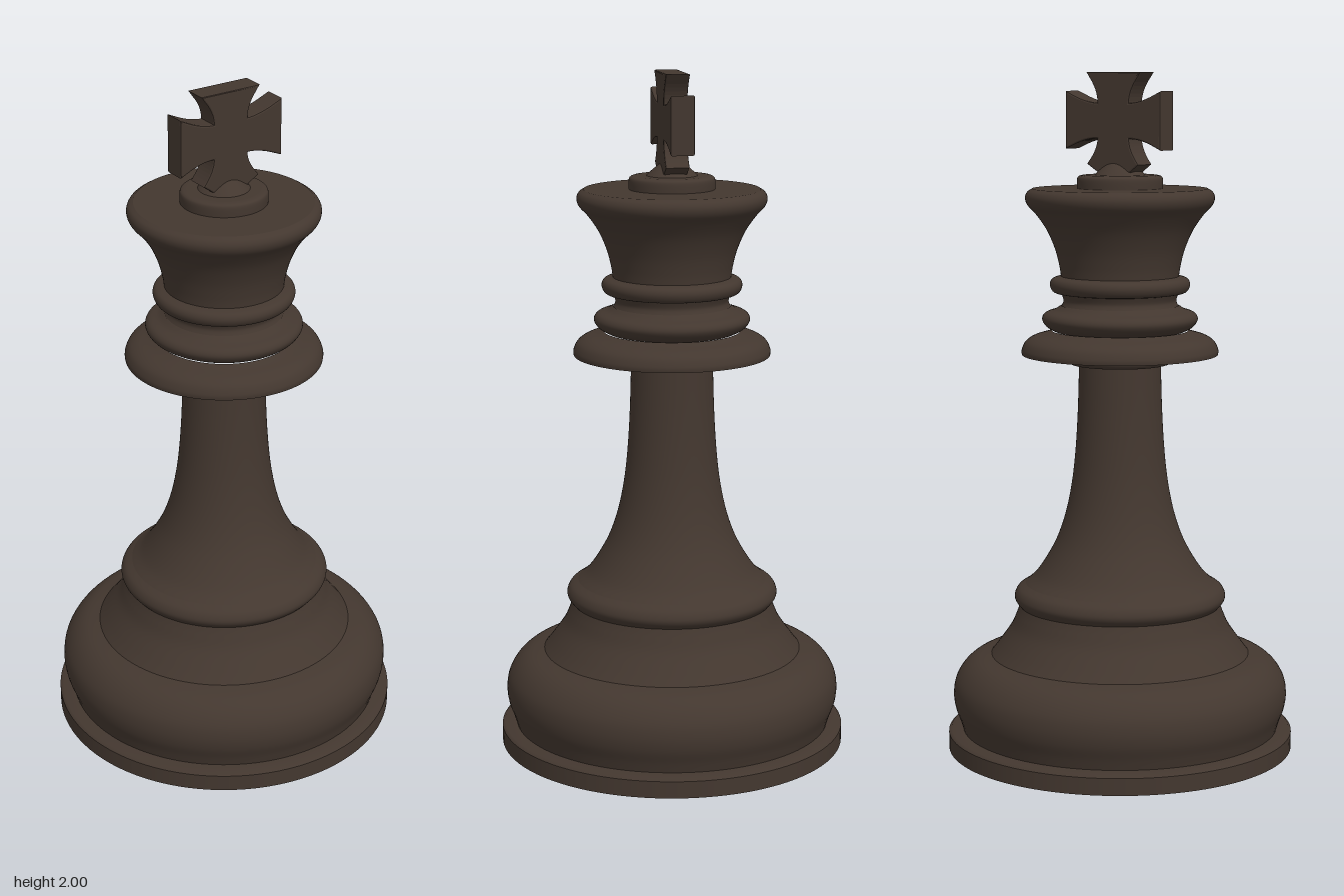
import * as THREE from 'three';

const wood = new THREE.MeshStandardMaterial({ color: 0x43372f });
wood.name = 'darkWood';

// Turned section: a smooth curve through [radius, y] points, or straight facets
function turned(name, points, smooth = true) {
  const pts = points.map(([r, y]) => new THREE.Vector2(r, y));
  const profile = smooth ? new THREE.SplineCurve(pts).getPoints(pts.length * 5) : pts;
  const mesh = new THREE.Mesh(new THREE.LatheGeometry(profile, 96), wood);
  mesh.name = name;
  return mesh;
}

// Flat disc closing a section, facing up or down
function disc(name, radius, y, up = true) {
  const mesh = new THREE.Mesh(new THREE.CircleGeometry(radius, 96), wood);
  mesh.rotation.x = up ? -Math.PI / 2 : Math.PI / 2;
  mesh.position.y = y;
  mesh.name = name;
  return mesh;
}

// Cross with four flared arms, each with concave sides
function cross() {
  const s = new THREE.Shape();
  s.moveTo(-0.09, 1.995);
  s.quadraticCurveTo(-0.048, 1.95, -0.05, 1.905);
  s.quadraticCurveTo(-0.1, 1.905, -0.16, 1.938);
  s.lineTo(-0.16, 1.782);
  s.quadraticCurveTo(-0.1, 1.815, -0.05, 1.812);
  s.quadraticCurveTo(-0.05, 1.775, -0.082, 1.735);
  s.lineTo(-0.055, 1.715);
  s.lineTo(0.055, 1.715);
  s.lineTo(0.088, 1.735);
  s.quadraticCurveTo(0.052, 1.775, 0.052, 1.812);
  s.quadraticCurveTo(0.1, 1.815, 0.167, 1.782);
  s.lineTo(0.167, 1.938);
  s.quadraticCurveTo(0.1, 1.905, 0.052, 1.905);
  s.quadraticCurveTo(0.05, 1.95, 0.09, 1.995);
  s.closePath();
  const geo = new THREE.ExtrudeGeometry(s, {
    depth: 0.06, curveSegments: 8,
    bevelEnabled: true, bevelSize: 0.005, bevelThickness: 0.005, bevelSegments: 2,
  });
  geo.translate(0, 0, -0.03);
  const mesh = new THREE.Mesh(geo, wood);
  mesh.name = 'cross';
  return mesh;
}

export function createModel() {
  const group = new THREE.Group();
  group.name = 'chessKing';
  group.add(
    // Foot and lower body
    disc('underside', 0.513, 0, false),
    turned('footEdge', [[0.513, 0], [0.513, 0.05]], false),
    turned('footTop', [[0.513, 0.05], [0.505, 0.058], [0.47, 0.06]], false),
    turned('baseBulge', [[0.47, 0.06], [0.479, 0.09], [0.493, 0.13], [0.497, 0.17],
      [0.489, 0.21], [0.465, 0.247], [0.43, 0.272], [0.38, 0.285]]),
    turned('lowerCone', [[0.387, 0.28], [0.36, 0.315], [0.325, 0.365], [0.307, 0.405], [0.298, 0.43]]),
    turned('bodyRing', [[0.298, 0.43], [0.311, 0.447], [0.313, 0.463], [0.303, 0.482], [0.28, 0.497]]),
    // Stem
    turned('stem', [[0.28, 0.497], [0.25, 0.525], [0.216, 0.575], [0.185, 0.635], [0.16, 0.71],
      [0.142, 0.8], [0.131, 0.9], [0.124, 1.02], [0.12, 1.16]]),
    // Collars
    turned('collarUnderRing', [[0.12, 1.15], [0.145, 1.152], [0.156, 1.165], [0.156, 1.182]]),
    turned('collarUnderside', [[0.15, 1.18], [0.288, 1.18]], false),
    turned('wideCollar', [[0.288, 1.18], [0.288, 1.195], [0.277, 1.217], [0.255, 1.232],
      [0.222, 1.242], [0.2, 1.25]]),
    turned('middleCollar', [[0.19, 1.248], [0.215, 1.262], [0.228, 1.283], [0.219, 1.301],
      [0.19, 1.312], [0.172, 1.324]]),
    turned('neck', [[0.172, 1.32], [0.165, 1.338], [0.172, 1.36]]),
    turned('upperCollar', [[0.17, 1.358], [0.195, 1.364], [0.205, 1.384], [0.197, 1.402], [0.17, 1.41]]),
    // Crown
    turned('crown', [[0.172, 1.405], [0.177, 1.44], [0.19, 1.49], [0.214, 1.545], [0.245, 1.59],
      [0.269, 1.616], [0.276, 1.637], [0.27, 1.654], [0.255, 1.664]]),
    disc('crownTop', 0.256, 1.664),
    // Finial
    turned('finialDisc', [[0.125, 1.66], [0.125, 1.69], [0.119, 1.7], [0.105, 1.703]]),
    disc('finialTop', 0.106, 1.703),
    turned('crossFoot', [[0.075, 1.702], [0.062, 1.715], [0.042, 1.732], [0.03, 1.74], [0, 1.742]], false),
    cross(),
  );
  return group;
}
